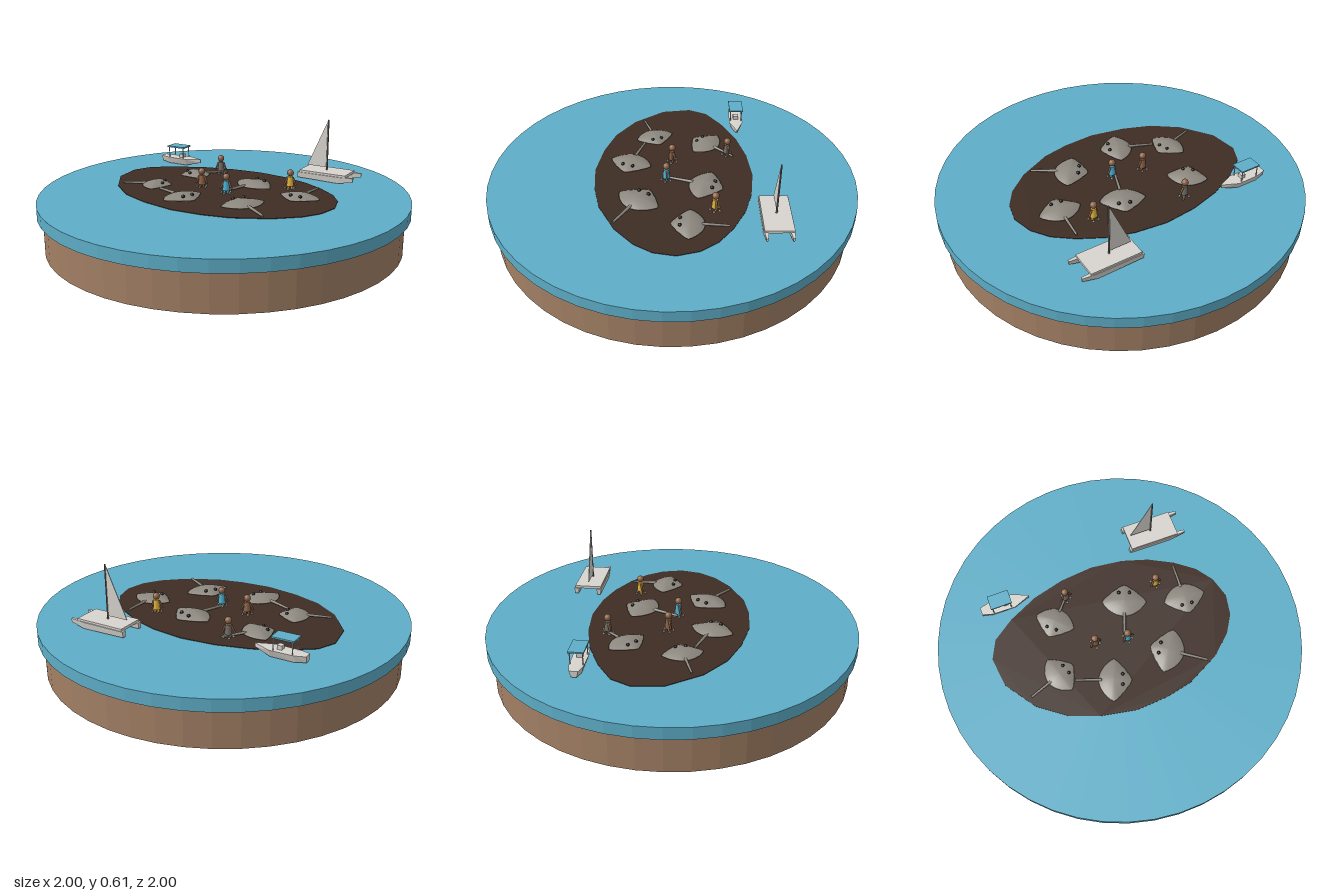
import * as THREE from 'three';
import { ConvexGeometry } from 'three/addons/geometries/ConvexGeometry.js';

const WATER = 0.265;
const paint = (name, color, extra = {}) => {
  const m = new THREE.MeshStandardMaterial({ color, ...extra });
  m.name = name;
  return m;
};

export function createModel() {
  const water = paint('water blue', 0x5eaec8, { flatShading: true });
  const earth = paint('earth brown', 0xa38065, { flatShading: true });
  const reef = paint('dark reef', 0x3e2d24);
  const hide = paint('ray grey', 0x8d887f);
  const white = paint('boat white', 0xd8d4ce, { flatShading: true, side: THREE.DoubleSide });
  const skin = paint('skin brown', 0x8e6549);
  const yellow = paint('yellow suit', 0xe0b13e);
  const grey = paint('grey suit', 0x756d66);
  const dark = paint('eye black', 0x1c1a18);
  const blue = paint('blue suit', 0x4fb3d4);

  const model = new THREE.Group();
  model.name = 'rayLagoon';

  const add = (parent, name, geometry, material, x = 0, y = 0, z = 0) => {
    const mesh = new THREE.Mesh(geometry, material);
    mesh.name = name;
    mesh.position.set(x, y, z);
    parent.add(mesh);
    return mesh;
  };
  const group = (name, x, y, z, turn = 0) => {
    const g = new THREE.Group();
    g.name = name;
    g.position.set(x, y, z);
    g.rotation.y = turn;
    model.add(g);
    return g;
  };
  // Rod between two points
  const rod = (parent, name, a, b, r0, r1, material, sides = 8) => {
    const from = new THREE.Vector3(...a), to = new THREE.Vector3(...b);
    const dir = to.clone().sub(from);
    const mesh = add(parent, name, new THREE.CylinderGeometry(r1, r0, dir.length(), sides), material);
    mesh.position.copy(from).add(to).multiplyScalar(0.5);
    mesh.quaternion.setFromUnitVectors(new THREE.Vector3(0, 1, 0), dir.normalize());
    return mesh;
  };

  // Round base and water disc
  add(model, 'base', new THREE.CylinderGeometry(0.97, 0.97, 0.2, 48), earth, 0, 0.1, 0);
  add(model, 'water', new THREE.CylinderGeometry(1, 1, WATER - 0.2, 48), water, 0, (WATER + 0.2) / 2, 0);

  // Dark reef patch lying on the water
  const shore = [
    [-0.655, -0.18], [-0.62, -0.34], [-0.54, -0.42], [-0.4, -0.46], [-0.22, -0.48], [-0.04, -0.465],
    [0.14, -0.42], [0.3, -0.34], [0.42, -0.25], [0.52, -0.14], [0.59, -0.03], [0.62, 0.08],
    [0.61, 0.2], [0.55, 0.3], [0.46, 0.37], [0.32, 0.425], [0.12, 0.45], [-0.03, 0.43],
    [-0.2, 0.38], [-0.37, 0.28], [-0.5, 0.17], [-0.6, 0.02],
  ].map(([x, z]) => new THREE.Vector2(x, -z));
  const patch = new THREE.ExtrudeGeometry(new THREE.Shape(shore), { depth: 0.003, bevelEnabled: false });
  add(model, 'reef', patch.rotateX(-Math.PI / 2), reef, 0, WATER, 0);

  // Ray body: a sphere reshaped to a winged outline with a thin edge
  const outline = [[0.41, 0], [0.3, 0.18], [0.17, 0.34], [0, 0.5], [-0.13, 0.41], [-0.25, 0.27], [-0.32, 0.13], [-0.34, 0]]
    .map(([x, z]) => [Math.atan2(z, x), Math.hypot(x, z)]);
  const reach = (angle) => {
    const a = Math.abs(angle);
    let i = 0;
    while (i < outline.length - 2 && a > outline[i + 1][0]) i++;
    const [a0, r0] = outline[i], [a1, r1] = outline[i + 1];
    return r0 + (r1 - r0) * Math.min(1, (a - a0) / (a1 - a0));
  };
  const rayBody = new THREE.SphereGeometry(1, 36, 12);
  const pos = rayBody.attributes.position;
  for (let i = 0; i < pos.count; i++) {
    const x = pos.getX(i), y = pos.getY(i), z = pos.getZ(i);
    const r = Math.hypot(x, z), a = Math.atan2(z, x), k = r * reach(a);
    const lift = (1 - r * r) * (y > 0 ? 0.1 : -0.03);
    pos.setXYZ(i, Math.cos(a) * k, lift, Math.sin(a) * k);
  }
  rayBody.computeVertexNormals();

  // Six rays: position, heading, span
  const rays = [
    [-0.225, -0.29, -0.87, 0.49, 0.225], [-0.395, -0.035, 1, 0, 0.22], [-0.19, 0.175, 0.77, 0.64, 0.24],
    [0.145, -0.135, 0.64, -0.77, 0.25], [0.42, 0.06, -0.4, 0.92, 0.235], [0.145, 0.24, -0.59, -0.8, 0.25],
  ];
  for (const [x, z, hx, hz, span] of rays) {
    const ray = group('ray', x, 0.275, z, Math.atan2(-hz, hx));
    ray.scale.setScalar(span);
    add(ray, 'rayBody', rayBody, hide);
    rod(ray, 'rayTail', [-0.27, 0.02, 0], [-0.87, 0, 0], 0.035, 0.025, hide);
    for (const s of [-1, 1]) add(ray, 'rayEye', new THREE.SphereGeometry(0.04, 10, 8), dark, 0.2, 0.07, s * 0.12);
  }

  // Waders
  const people = [[-0.09, -0.365, grey], [-0.135, -0.05, skin], [0.02, 0.04, blue], [0.35, -0.11, yellow]];
  for (const [x, z, suit] of people) {
    const p = group('wader', x, WATER, z);
    add(p, 'head', new THREE.SphereGeometry(0.019, 14, 10), skin, 0, 0.093, 0);
    add(p, 'torso', new THREE.CylinderGeometry(0.015, 0.02, 0.052, 12), suit, 0, 0.046, 0);
    for (const s of [-1, 1]) {
      rod(p, 'arm', [s * 0.014, 0.068, 0], [s * 0.032, 0.025, 0.006], 0.006, 0.005, skin);
      rod(p, 'leg', [s * 0.009, 0, 0], [s * 0.009, 0.025, 0], 0.007, 0.008, suit);
    }
    // Foam at the feet
    for (let i = 0; i < 5; i++) {
      const a = (i / 5) * Math.PI * 2 + 0.6;
      add(p, 'foam', new THREE.SphereGeometry(0.006, 8, 6), white, Math.cos(a) * 0.027, 0.006, Math.sin(a) * 0.027);
    }
  }

  // Hull from cross-sections: x, half width top, half width bottom, bottom, top
  const hull = (sections) => {
    const pts = [];
    for (const [x, wt, wb, y0, y1] of sections)
      for (const s of [-1, 1]) pts.push(new THREE.Vector3(x, y1, s * wt), new THREE.Vector3(x, y0, s * wb));
    return new ConvexGeometry(pts);
  };

  // Small canopy boat
  const boat = group('canopyBoat', -0.395, WATER, -0.55, -0.34);
  add(boat, 'boatHull', hull([
    [-0.115, 0.022, 0.014, 0.012, 0.045], [-0.06, 0.037, 0.025, 0.004, 0.043],
    [0.068, 0.04, 0.025, 0.004, 0.043], [0.16, 0.002, 0.002, 0.025, 0.045],
  ]), white);
  add(boat, 'console', new THREE.BoxGeometry(0.025, 0.025, 0.03), white, 0.025, 0.054, 0);
  add(boat, 'canopy', new THREE.BoxGeometry(0.118, 0.008, 0.08), water, 0, 0.112, 0);
  for (const sx of [-1, 1]) for (const sz of [-1, 1])
    rod(boat, 'canopyPost', [sx * 0.05, 0.035, sz * 0.032], [sx * 0.05, 0.11, sz * 0.032], 0.003, 0.003, white, 6);

  // Twin-hulled sailing boat
  const cat = group('sailboat', 0.535, WATER, -0.365, -0.34);
  add(cat, 'deck', new THREE.BoxGeometry(0.28, 0.015, 0.15), white, 0, 0.045, 0);
  for (const s of [-1, 1])
    add(cat, 'sailboatHull', hull([
      [-0.15, 0.014, 0.009, 0.008, 0.04], [0.1, 0.014, 0.009, 0.003, 0.04], [0.185, 0.006, 0.003, 0.02, 0.042],
    ]), white, 0, 0, s * 0.065);
  rod(cat, 'mast', [0, 0.045, 0], [0, 0.347, 0], 0.005, 0.004, grey);
  const cloth = new THREE.Shape([[-0.005, 0.07], [-0.005, 0.338], [-0.122, 0.07]].map((p) => new THREE.Vector2(...p)));
  add(cat, 'sail', new THREE.ExtrudeGeometry(cloth, { depth: 0.004, bevelEnabled: false }), white, 0, 0, -0.002);

  return model;
}
